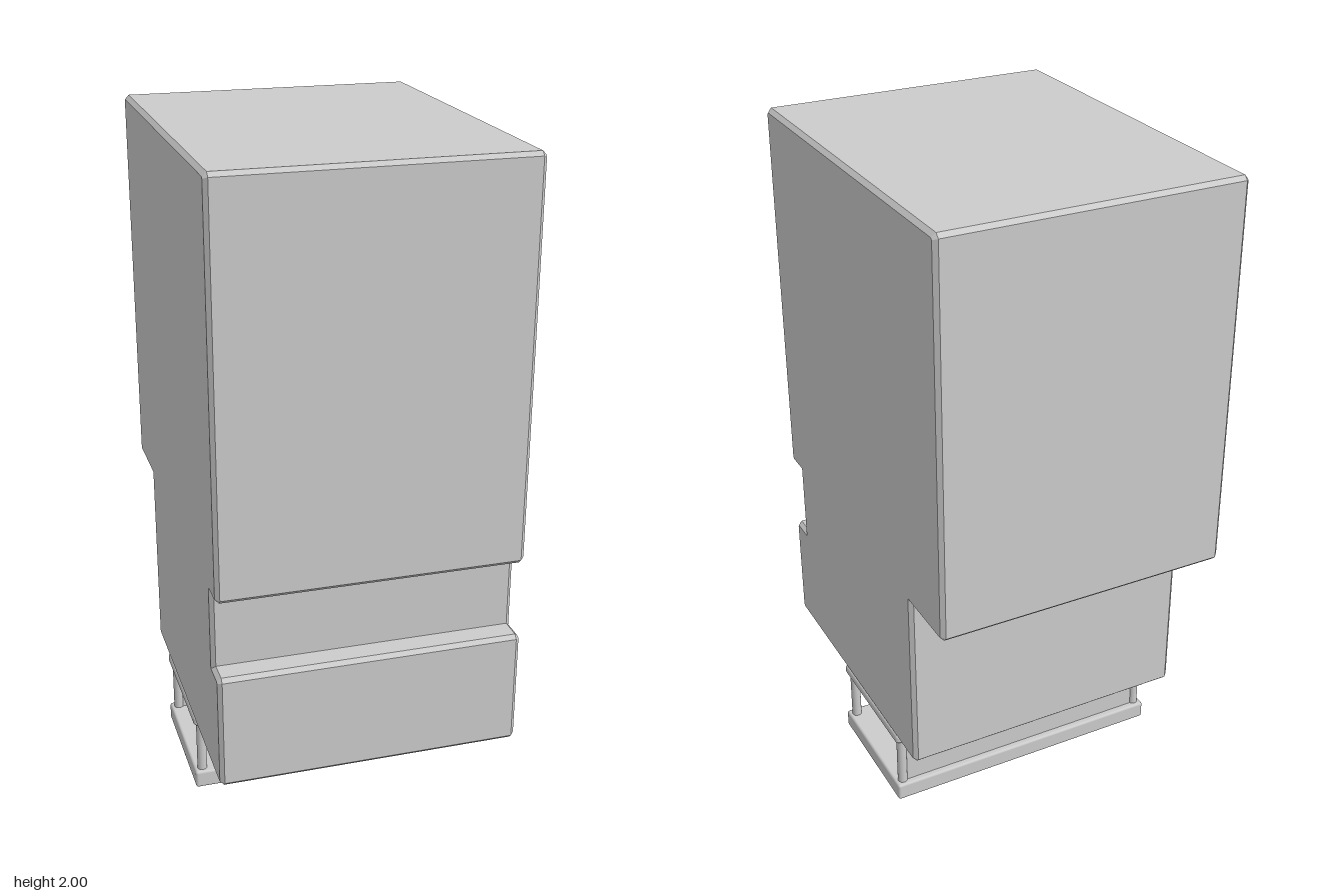
import * as THREE from 'three';
import { RoundedBoxGeometry } from 'three/addons/geometries/RoundedBoxGeometry.js';
import { toCreasedNormals } from 'three/addons/utils/BufferGeometryUtils.js';

const material = new THREE.MeshStandardMaterial({ color: 0xcccccc });
const BEVEL = 0.012;

function addPart(parent, name, geometry, x = 0, y = 0, z = 0) {
  const mesh = new THREE.Mesh(geometry, material);
  mesh.name = name;
  mesh.position.set(x, y, z);
  parent.add(mesh);
  return mesh;
}

// Closed side outline from [z, y, chamfer] corners
function chamferedShape(corners) {
  const shape = new THREE.Shape();
  const n = corners.length;
  corners.forEach(([z, y, chamfer], i) => {
    const p = new THREE.Vector2(z, y);
    for (const k of chamfer ? [n - 1, 1] : [0]) {
      const q = p.clone();
      if (chamfer) {
        const other = corners[(i + k) % n];
        q.add(new THREE.Vector2(other[0] - z, other[1] - y).setLength(chamfer));
      }
      if (shape.curves.length === 0 && shape.currentPoint.lengthSq() === 0) shape.moveTo(q.x, q.y);
      else shape.lineTo(q.x, q.y);
    }
  });
  shape.closePath();
  return shape;
}

export function createModel() {
  const model = new THREE.Group();
  model.name = 'cabinetModel';

  // Main housing: stepped side profile swept across the width
  const halfWidth = 0.447;
  const profile = chamferedShape([
    [-0.353, 0.25, BEVEL], [0.562, 0.25, BEVEL], [0.562, 0.6, BEVEL], [0.485, 0.6, 0],
    [0.485, 0.832, 0], [0.562, 0.832, BEVEL], [0.562, 2, BEVEL], [-0.562, 2, BEVEL],
    [-0.562, 0.832, BEVEL], [-0.353, 0.832, 0],
  ]);
  const housing = new THREE.ExtrudeGeometry(profile, {
    depth: 2 * (halfWidth - BEVEL), bevelEnabled: true, bevelSegments: 1,
    bevelThickness: BEVEL, bevelSize: BEVEL, bevelOffset: -BEVEL,
  });
  housing.translate(0, 0, -(halfWidth - BEVEL));
  housing.rotateY(-Math.PI / 2);
  addPart(model, 'housing', toCreasedNormals(housing, 0.5));

  // Open tray under the housing
  const tray = new THREE.Group();
  tray.name = 'lowerTray';
  model.add(tray);
  const zMid = -0.012;
  addPart(tray, 'trayBase', new RoundedBoxGeometry(0.894, 0.056, 0.418, 2, 0.008), 0, 0.028, zMid);
  addPart(tray, 'trayTopRail', new RoundedBoxGeometry(0.894, 0.034, 0.41, 3, 0.012), 0, 0.235, zMid);
  addPart(tray, 'trayMount', new THREE.BoxGeometry(0.8, 0.02, 0.37), 0, 0.25, zMid);
  addPart(tray, 'trayBackPanel', new THREE.BoxGeometry(0.82, 0.18, 0.014), 0, 0.138, -0.194);

  // Corner posts
  const post = new THREE.CylinderGeometry(0.015, 0.015, 0.18, 16);
  for (const x of [-0.422, 0.422])
    for (const z of [-0.195, 0.171]) addPart(tray, 'trayPost', post, x, 0.138, z);

  return model;
}
